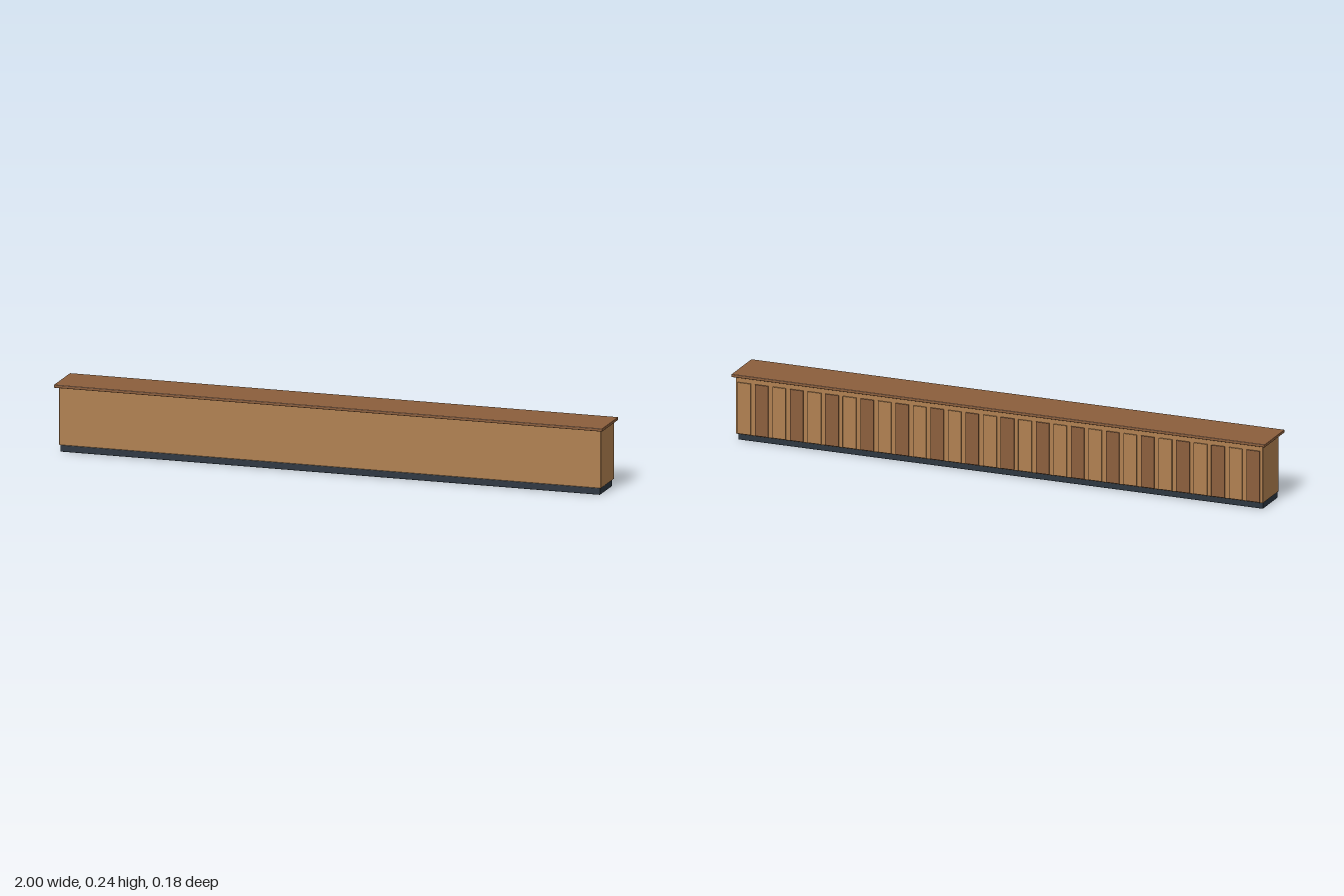
import * as THREE from 'three';
import { RoundedBoxGeometry } from 'three/addons/geometries/RoundedBoxGeometry.js';

const material = (name, color) => {
  const m = new THREE.MeshStandardMaterial({ color });
  m.name = name;
  return m;
};

export function createModel() {
  const group = new THREE.Group();
  group.name = 'counter';
  const lightWood = material('light wood', 0xb08050);
  const darkWood = material('dark wood', 0x8b5e3c);
  const slate = material('dark slate', 0x2c3640);

  // Softly bevelled box given by half width and its y and z ranges
  const slab = (name, mat, halfX, y0, y1, z0, z1, radius, x = 0) => {
    const geo = new RoundedBoxGeometry(halfX * 2, y1 - y0, z1 - z0, 2, radius);
    const mesh = new THREE.Mesh(geo, mat);
    mesh.name = name;
    mesh.position.set(x, (y0 + y1) / 2, (z0 + z1) / 2);
    group.add(mesh);
  };

  slab('plinth', slate, 0.984, 0, 0.024, -0.067, 0.064, 0.002);
  slab('cabinetBody', lightWood, 0.988, 0.024, 0.2325, -0.078, 0.066, 0.002);
  slab('countertop', darkWood, 1, 0.2325, 0.243, -0.0895, 0.0895, 0.002);

  // Row of alternating door panels standing just off the back
  const count = 30, pitch = 0.0658;
  for (let i = 0; i < count; i++) {
    const x = ((count - 1) / 2 - i) * pitch;
    slab('doorPanel' + (i + 1), i % 2 ? darkWood : lightWood,
      0.025, 0.028, 0.215, -0.0858, -0.0813, 0.001, x);
  }
  return group;
}
